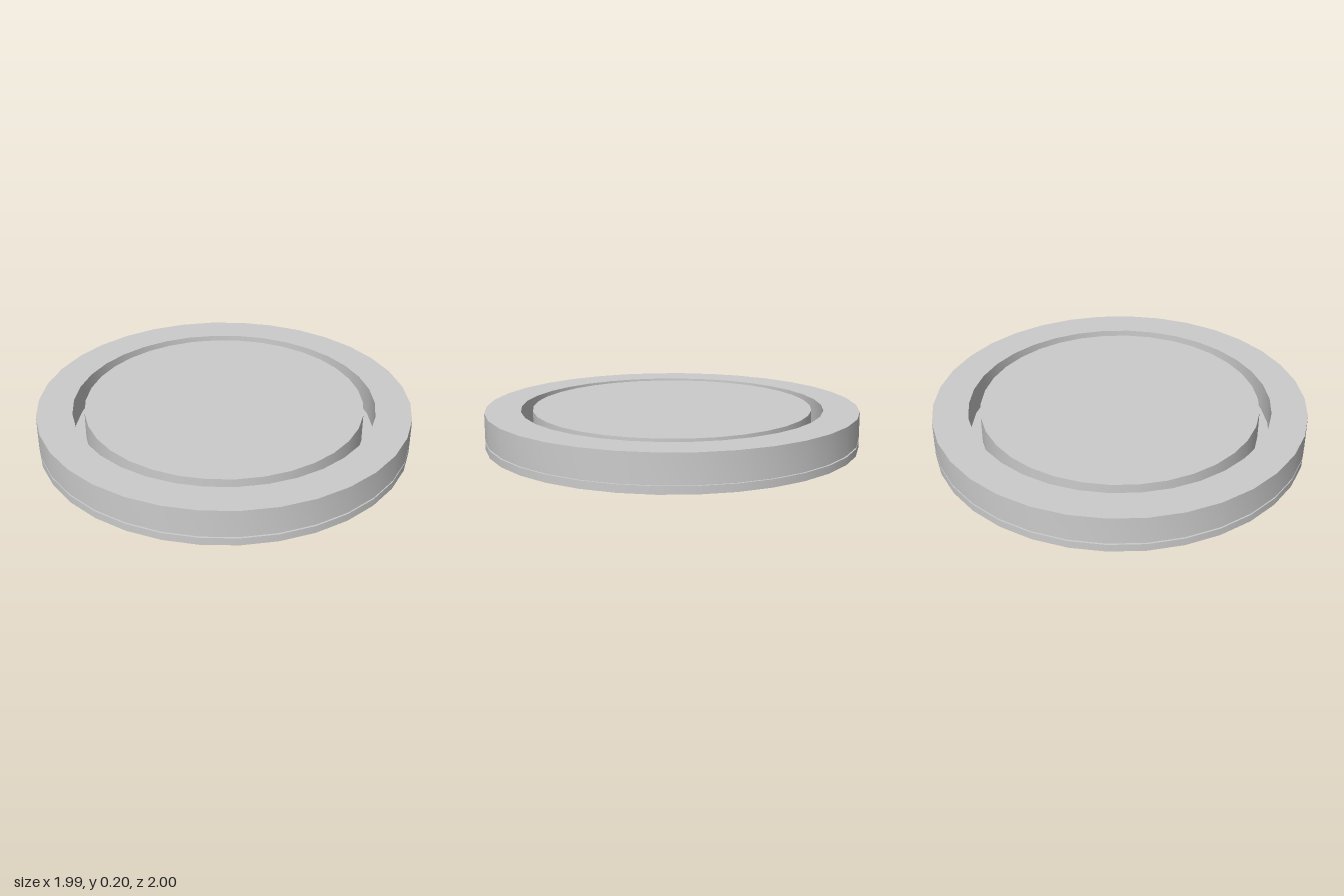
import * as THREE from 'three';
import { toCreasedNormals } from 'three/addons/utils/BufferGeometryUtils.js';

const SIDES = 34;
const HEIGHT = 0.195;
const BASE_TOP = 0.04;

export function createModel() {
  const model = new THREE.Group();
  const material = new THREE.MeshStandardMaterial({ color: 0xcccccc });

  function add(name, geometry, y = 0) {
    const mesh = new THREE.Mesh(geometry, material);
    mesh.name = name;
    mesh.position.y = y;
    model.add(mesh);
  }

  // Flat plate closing the underside and the floor of the channel
  add('basePlate', new THREE.CylinderGeometry(1, 1, BASE_TOP, SIDES), BASE_TOP / 2);

  // Broad rim, with a fine groove where it meets the plate
  const profile = [
    [0.81, BASE_TOP], [0.99, BASE_TOP], [0.99, 0.048], [1, 0.048],
    [1, HEIGHT], [0.81, HEIGHT], [0.81, BASE_TOP],
  ].map(([r, y]) => new THREE.Vector2(r, y));
  add('outerRing', toCreasedNormals(new THREE.LatheGeometry(profile, SIDES), 0.5));

  // Raised centre, separated from the rim by a channel
  const discHeight = HEIGHT - BASE_TOP;
  add('centreDisc', new THREE.CylinderGeometry(0.747, 0.747, discHeight, SIDES), BASE_TOP + discHeight / 2);

  return model;
}
